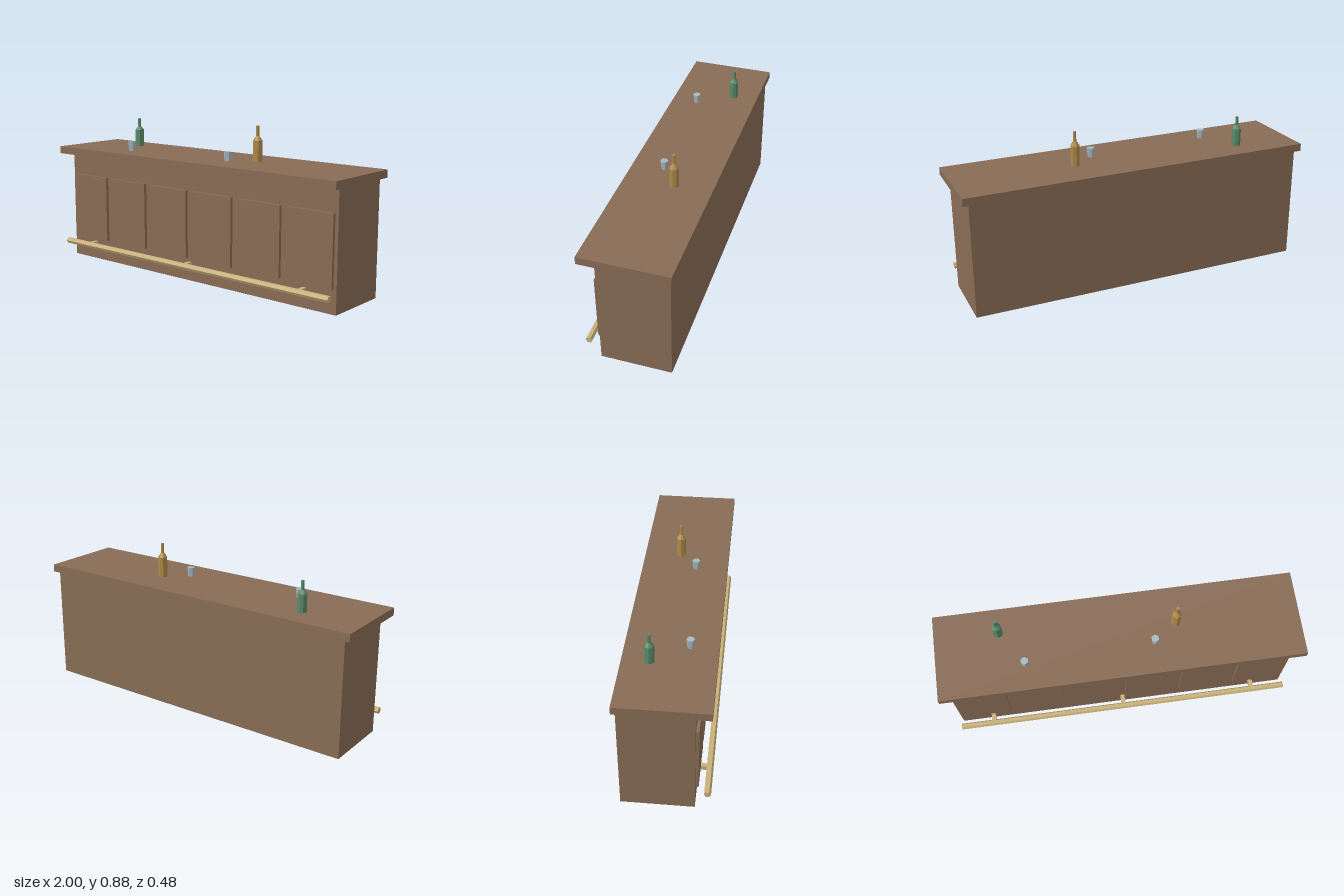
import * as THREE from 'three';

const mat = (name, color) => {
  const m = new THREE.MeshStandardMaterial({ color });
  m.name = name;
  return m;
};

export function createModel() {
  const wood = mat('wood', 0x886c55);
  const brass = mat('brass', 0xc8b07a);
  const amber = mat('amberGlass', 0xb08a4a);
  const green = mat('greenGlass', 0x5a8a6a);
  const clear = mat('clearGlass', 0xa6bac2);

  const model = new THREE.Group();
  model.name = 'barCounter';

  const add = (name, geometry, material, x, y, z, parent = model) => {
    const mesh = new THREE.Mesh(geometry, material);
    mesh.name = name;
    mesh.position.set(x, y, z);
    parent.add(mesh);
    return mesh;
  };
  const box = (w, h, d) => new THREE.BoxGeometry(w, h, d);
  // Faceted copy of a round geometry
  const faceted = (g) => {
    const flat = g.toNonIndexed();
    flat.computeVertexNormals();
    return flat;
  };

  // Counter body and overhanging top
  add('counterBody', box(1.934, 0.647, 0.386), wood, 0, 0.3235, -0.033);
  add('counterTop', box(2, 0.043, 0.484), wood, 0, 0.6685, 0);

  // Raised front panels
  for (let i = 0; i < 6; i++) {
    add('frontPanel', box(0.284, 0.387, 0.018), wood, (i - 2.5) * 0.3225, 0.3235, 0.168);
  }

  // Foot rail on three brackets
  const rail = add('footRail', faceted(new THREE.CylinderGeometry(0.018, 0.018, 1.934, 6)), brass, 0, 0.098, 0.224);
  rail.rotation.z = Math.PI / 2;
  for (const x of [-0.775, 0, 0.775]) {
    add('railBracket', box(0.024, 0.024, 0.065), brass, x, 0.098, 0.1925);
  }

  // Eight-sided bottles standing on the counter
  const bottle = (name, material, x, z, body, shoulder, top) => {
    const g = new THREE.Group();
    g.name = name;
    g.position.set(x, 0.69, z);
    const part = (partName, r0, r1, y0, y1) =>
      add(partName, faceted(new THREE.CylinderGeometry(r1, r0, y1 - y0, 8)), material, 0, (y0 + y1) / 2, 0, g);
    part('bottleBody', 0.026, 0.026, 0, body);
    part('bottleShoulder', 0.026, 0.009, body, shoulder);
    part('bottleNeck', 0.009, 0.009, shoulder, top);
    model.add(g);
  };
  bottle('greenBottle', green, -0.648, -0.099, 0.1, 0.121, 0.169);
  bottle('amberBottle', amber, 0.32, -0.034, 0.115, 0.14, 0.195);

  // Six-sided tumblers
  for (const [x, z] of [[-0.52, 0.095], [0.19, 0.064]]) {
    add('tumbler', faceted(new THREE.CylinderGeometry(0.022, 0.017, 0.052, 6)), clear, x, 0.716, z);
  }

  return model;
}
